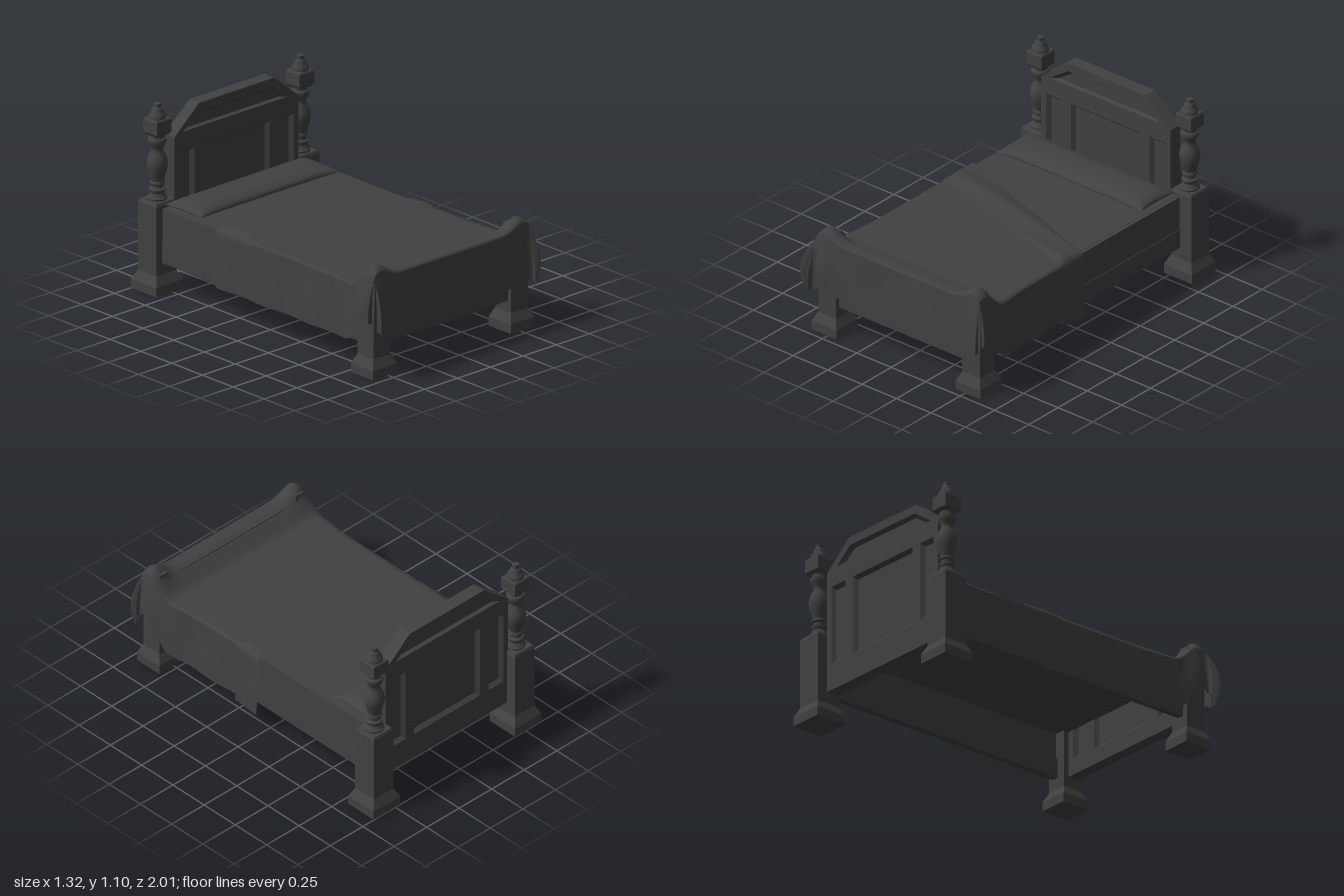
import * as THREE from 'three';
import { toCreasedNormals } from 'three/addons/utils/BufferGeometryUtils.js';

const DARK = 0x414141;
const smooth = new THREE.MeshStandardMaterial({ color: DARK });
const flat = new THREE.MeshStandardMaterial({ color: DARK, flatShading: true, side: THREE.DoubleSide });
const cloth = new THREE.MeshStandardMaterial({ color: DARK, side: THREE.DoubleSide });

const part = (name, geo, mat, x = 0, y = 0, z = 0) => {
  const m = new THREE.Mesh(geo, mat);
  m.name = name;
  m.position.set(x, y, z);
  return m;
};
const box = (name, x0, x1, y0, y1, z0, z1) =>
  part(name, new THREE.BoxGeometry(x1 - x0, y1 - y0, z1 - z0), flat, (x0 + x1) / 2, (y0 + y1) / 2, (z0 + z1) / 2);
const step = (x, a, b) => THREE.MathUtils.smoothstep(x, a, b);
const bell = (d, w) => Math.exp(-((d / w) ** 2));

// Square block from [half width, y] pairs
const square = (pts) =>
  new THREE.LatheGeometry(pts.map(([h, y]) => new THREE.Vector2(h * Math.SQRT2, y)), 4).rotateY(Math.PI / 4);

// Turned piece from [radius, y] pairs
const turned = (pts) =>
  toCreasedNormals(new THREE.LatheGeometry(pts.map(([r, y]) => new THREE.Vector2(r, y)), 28), 0.7);

// Surface grid from a function of row and column numbers
function grid(rows, cols, f) {
  const pos = [], idx = [];
  for (let j = 0; j <= rows; j++) for (let i = 0; i <= cols; i++) pos.push(...f(j, i));
  for (let j = 0; j < rows; j++) for (let i = 0; i < cols; i++) {
    const a = j * (cols + 1) + i, b = a + cols + 1;
    idx.push(a, b, a + 1, b, b + 1, a + 1);
  }
  const g = new THREE.BufferGeometry();
  g.setAttribute('position', new THREE.Float32BufferAttribute(pos, 3));
  g.setIndex(idx);
  g.computeVertexNormals();
  return g;
}

// Board with sunken panels on both faces; a panel is [outer corners, inner corners]
function panelBoard(name, outline, panels, z0, z1) {
  const group = new THREE.Group();
  group.name = name;
  const V = (p) => p.map(([x, y]) => new THREE.Vector2(x, y));
  const shape = new THREE.Shape(V(outline));
  panels.forEach(([outer]) => shape.holes.push(new THREE.Path(V(outer))));
  group.add(part(name + 'Frame', new THREE.ExtrudeGeometry(shape, { depth: z1 - z0, bevelEnabled: false }), flat, 0, 0, z0));
  for (const [outer, inner] of panels) {
    const pos = [];
    for (const [zf, zi] of [[z1, z1 - 0.022], [z0, z0 + 0.022]]) {
      const quad = (a, b, c, d) => pos.push(...a, ...b, ...c, ...a, ...c, ...d);
      const o = outer.map((p) => [...p, zf]), n = inner.map((p) => [...p, zi]);
      o.forEach((p, i) => quad(p, o[(i + 1) % 4], n[(i + 1) % 4], n[i]));
      quad(...n);
    }
    const g = new THREE.BufferGeometry();
    g.setAttribute('position', new THREE.Float32BufferAttribute(pos, 3));
    g.computeVertexNormals();
    group.add(part(name + 'Panel', g, flat));
  }
  return group;
}
const rect = (x0, x1, y0, y1) => [[x0, y0], [x1, y0], [x1, y1], [x0, y1]];
const rectPanel = (x0, x1, y0, y1, m = 0.02) => [rect(x0, x1, y0, y1), rect(x0 + m, x1 - m, y0 + m, y1 - m)];

// Blanket mapping: s runs across, t along; beyond the bed edges the cloth hangs
const EDGE = 0.56, FOOT = 0.935;
function drape(s, t, lift = 0) {
  const sg = Math.sign(s), a = Math.max(0, Math.abs(s) - EDGE), b = Math.max(0, t - FOOT);
  const z = Math.min(t, FOOT);
  const x = sg * Math.min(Math.abs(s), EDGE) * (1 + 0.045 * step(z, 0.45, 0.85));
  // Raised over the footboard, peaked over the foot posts
  const dx = Math.abs(x) - 0.54, dz = z - 0.89;
  const peak = dx * dx * (dx < 0 ? 0.75 : 2) + dz * dz;
  const top = 0.507 + 0.08 * step(z, 0.72, 0.88) + 0.07 * Math.exp(-peak / 0.005);
  // Around the posts the cloth bellies out in folds, then falls back in at the tips
  const r = Math.hypot(a, b), ang = Math.atan2(b, a);
  const c2 = Math.cos(ang) ** 2, s2 = 1 - c2;
  const corner = Math.sin(2 * ang);
  const belly = Math.sin(Math.PI * Math.min(1, r / 0.56)) * (sg < 0 ? 1 : 0.7);
  const nearPost = c2 * bell(z - 0.89, 0.08) + s2 * bell(Math.abs(x) - 0.57, 0.08);
  const folds = Math.sqrt(Math.max(0, corner)) * (0.038 + 0.028 * Math.sin(10 * ang));
  const wave = Math.min(1, r * 5) * 0.006 * (Math.sin(17 * z + 1) * c2 + Math.sin(9 * x) * s2);
  const out = r > 0 ? 0.03 * r + belly * (0.03 * nearPost + folds) + wave + lift : 0;
  const hem = 1 - 0.13 * corner - 0.25 * c2 * bell(z - 0.88, 0.11);
  return [
    x + sg * Math.cos(ang) * out * (a > 0),
    top + (r > 0 ? 0 : lift) - r * hem,
    z + Math.sin(ang) * out,
  ];
}
// Column number to distance across, with its own hanging length on each side
const across = (i, dropR, dropL) =>
  i < 20 ? -EDGE - dropR * (1 - i / 20) : i > 60 ? EDGE + dropL * (i - 60) / 20 : EDGE * (i - 40) / 20;
const clampX = (s) => THREE.MathUtils.clamp(s, -EDGE, EDGE);
const blanketStart = (s) => -0.165 + 0.35 * clampX(s);
const bandEnd = (s) => 0.055 + 0.27 * clampX(s);

export function createModel() {
  const bed = new THREE.Group();
  bed.name = 'bed';

  // Head posts: square foot, turned column, block and finial
  const post = new THREE.Group();
  post.name = 'headPost';
  post.add(part('postFoot', square([[0, 0], [0.102, 0], [0.102, 0.055], [0.075, 0.11], [0.075, 0.52], [0.068, 0.535], [0, 0.535]]), flat));
  post.add(part('postColumn', turned([
    [0.055, 0.53], [0.058, 0.545], [0.045, 0.56], [0.04, 0.575], [0.047, 0.585], [0.047, 0.597], [0.034, 0.605],
    [0.034, 0.62], [0.042, 0.628], [0.042, 0.637], [0.036, 0.645], [0.046, 0.68], [0.057, 0.72], [0.06, 0.745],
    [0.055, 0.775], [0.042, 0.805], [0.032, 0.825], [0.034, 0.84], [0.048, 0.865], [0.053, 0.885], [0.05, 0.895],
    [0.041, 0.9], [0.041, 0.93]]), smooth));
  post.add(part('postBlock', square([[0, 0.917], [0.042, 0.917], [0.056, 0.932], [0.056, 1.008], [0.05, 1.016], [0, 1.016]]), flat));
  post.add(part('postFinial', turned([
    [0.048, 1.012], [0.05, 1.022], [0.044, 1.04], [0.034, 1.05], [0.032, 1.062], [0.026, 1.075], [0.02, 1.08],
    [0.02, 1.1], [0, 1.1]]), smooth));
  for (const x of [-0.522, 0.563]) {
    const p = post.clone();
    p.position.set(x, 0, -0.896);
    bed.add(p);
  }

  // Foot posts, tapering under the blanket
  for (const x of [-0.525, 0.52])
    bed.add(part('footPost', square([[0, 0], [0.09, 0], [0.09, 0.055], [0.064, 0.11], [0.064, 0.52], [0.03, 0.62], [0, 0.625]]), flat, x, 0, 0.866));

  // Headboard and footboard
  bed.add(panelBoard('headboard',
    [[-0.457, 0.175], [0.485, 0.175], [0.485, 0.9], [0.3, 1.055], [-0.27, 1.055], [-0.457, 0.9]],
    [
      rectPanel(-0.42, -0.305, 0.335, 0.805), rectPanel(-0.24, 0.265, 0.335, 0.805), rectPanel(0.33, 0.45, 0.335, 0.805),
      [[[-0.395, 0.915], [0.405, 0.915], [0.29, 1.005], [-0.26, 1.005]],
        [[-0.345, 0.922], [0.355, 0.922], [0.275, 0.988], [-0.245, 0.988]]],
    ], -0.905, -0.825));
  bed.add(panelBoard('footboard', rect(-0.47, 0.47, 0.175, 0.578),
    [rectPanel(-0.42, -0.3, 0.27, 0.52), rectPanel(-0.24, 0.24, 0.27, 0.52), rectPanel(0.3, 0.42, 0.27, 0.52)],
    0.835, 0.905));

  // Side rails with a slightly set-back upper board, open underneath
  for (const s of [-1, 1]) {
    const rail = (name, inner, outer, y0, y1) =>
      bed.add(box(name, Math.min(s * inner, s * outer), Math.max(s * inner, s * outer), y0, y1, -0.83, 0.84));
    rail('sideRail', 0.515, 0.555, 0.18, 0.295);
    rail('upperRail', 0.525, 0.551, 0.295, 0.5);
  }
  bed.add(box('mattress', -0.53, 0.53, 0.45, 0.502, -0.825, 0.838));

  // Pillow: oval sections along x, with pinched middle edges and pulled-out corners
  bed.add(part('pillow', grid(40, 32, (j, i) => {
    const u = -Math.cos(Math.PI * j / 40), a = Math.PI * 2 * i / 32;
    const end = Math.sqrt(Math.max(0, 1 - Math.abs(u) ** 10));
    const w = 0.13 + 0.014 * u ** 6;
    const c = Math.cos(a), sn = Math.sin(a);
    return [0.525 * u * (1 - 0.02 * (1 - c * c)), sn * end * (sn > 0 ? 0.045 : 0.02), Math.sign(c) * Math.abs(c) ** 0.8 * w];
  }), cloth, -0.005, 0.52, -0.675));

  // Blanket over the mattress, foot end and foot posts
  bed.add(part('blanket', grid(84, 80, (j, i) => {
    const s = across(i, 0.34, 0.355), t0 = blanketStart(s);
    const t = j <= 60 ? t0 + (FOOT - t0) * j / 60 : FOOT + 0.335 * (j - 60) / 24;
    return drape(s, t);
  }), cloth));

  // Folded-back band, lying slantwise across the blanket
  bed.add(part('blanketFold', grid(24, 80, (j, i) => {
    const s = across(i, 0.325, 0.385), w = j / 24;
    const ridge = Math.abs(s) < EDGE ? 0.016 * Math.sin(Math.PI * w) * (1 + 0.5 * Math.sin(5 * s + 6 * w)) : 0;
    return drape(s, THREE.MathUtils.lerp(blanketStart(s) - 0.005, bandEnd(s), w), 0.008 + ridge);
  }), cloth));

  return bed;
}
